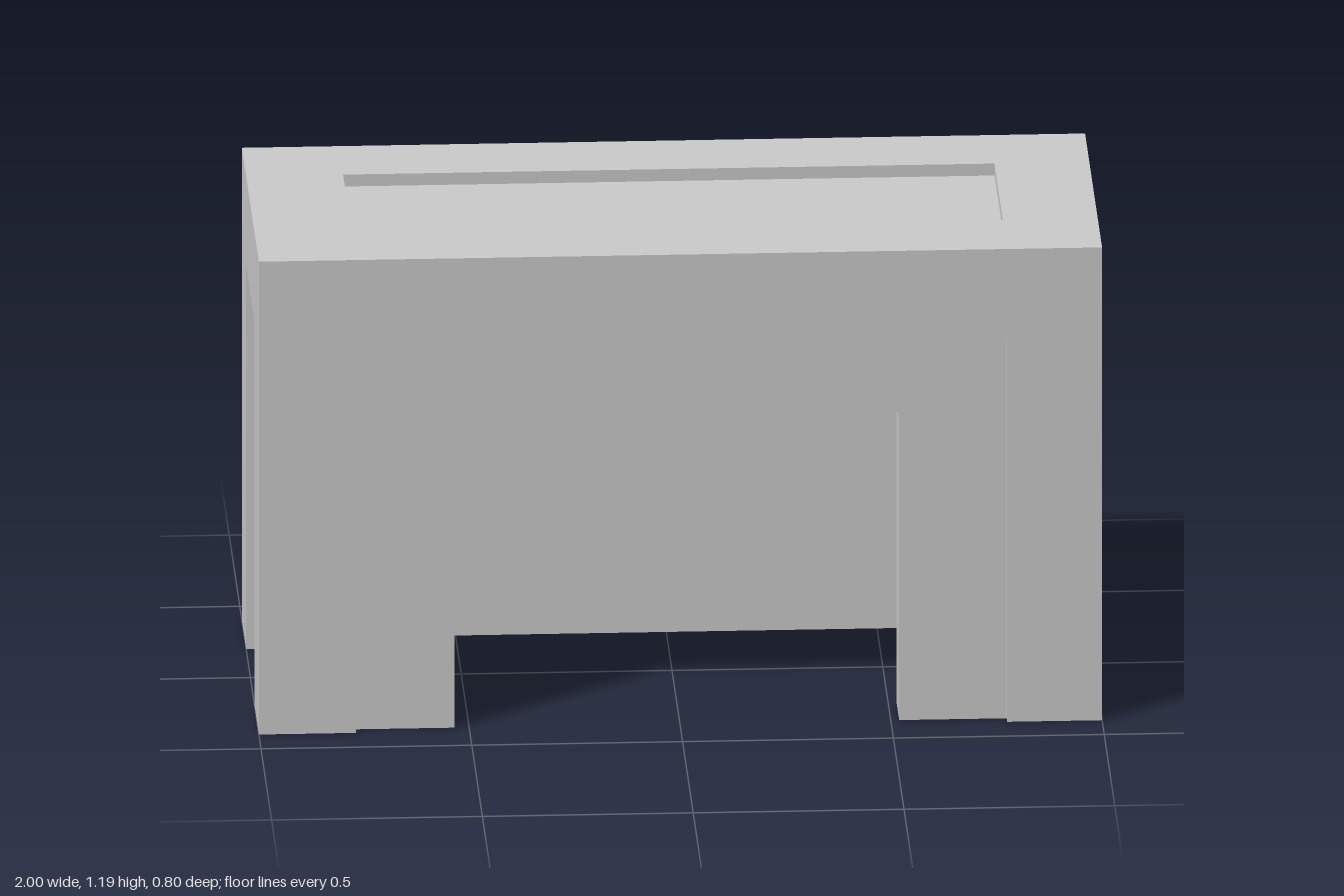
import * as THREE from 'three';
import { mergeGeometries } from 'three/addons/utils/BufferGeometryUtils.js';

const W = 1, H = 1.19, D = 0.4;                    // half width, height, half depth
const PANEL_H = 0.965;                             // top of the sunken wall panels
const FACE_IN = 0.025, SIDE_IN = 0.037, TOP_IN = 0.03; // panel recess depths
const OPEN = [-0.535, 0.52], OPEN_H = 0.775;       // front opening
const CAV = 0.645, CAV_H = 0.89, CAV_F = 0.252, CAV_B = -0.27; // hollow inside

const material = new THREE.MeshStandardMaterial({ color: 0xcccccc, side: THREE.DoubleSide, flatShading: true });

// Up, across and down again: an arch-shaped outline
const arch = (x0, x1, y0, y1) => [[x0, y0], [x0, y1], [x1, y1], [x1, y0]];

// Flat face at depth z from an outline, with an optional hole
function flat(points, z, hole) {
  const vec = list => list.map(p => new THREE.Vector2(p[0], p[1]));
  const shape = new THREE.Shape(vec(points));
  if (hole) shape.holes.push(new THREE.Path(vec(hole)));
  return new THREE.ShapeGeometry(shape).translate(0, 0, z);
}

// Wall strip along a path between two depths, facing right of the travel direction
function walls(path, zOut, zIn) {
  const strips = [];
  for (let i = 0; i + 1 < path.length; i++) {
    const [a, b] = [path[i], path[i + 1]];
    const g = new THREE.PlaneGeometry(1, 1);
    const p = g.attributes.position;
    p.setXYZ(0, ...b, zOut);
    p.setXYZ(1, ...a, zOut);
    p.setXYZ(2, ...b, zIn);
    p.setXYZ(3, ...a, zIn);
    g.computeVertexNormals();
    strips.push(g);
  }
  return mergeGeometries(strips);
}

// U-shaped frame: an outer arch minus an inner arch, both standing on y = 0
const frame = (outer, inner) => [...outer, ...[...inner].reverse()];

function part(name, ...geometries) {
  const mesh = new THREE.Mesh(mergeGeometries(geometries), material);
  mesh.name = name;
  return mesh;
}

// Wall with a sunken panel that runs down to the ground
function panelWall(name, half, out, x0, x1, depth, opening) {
  const notch = arch(x0, x1, 0, PANEL_H);
  const floor = opening ? frame(notch, opening) : notch;
  return part(name,
    flat(frame(arch(-half, half, 0, H), notch), out),
    walls(notch, out, out - depth),
    flat(floor, out - depth));
}

export function createModel() {
  const model = new THREE.Group();
  model.name = 'hollowBlock';
  const opening = arch(...OPEN, 0, OPEN_H);

  // Outer walls
  const front = panelWall('frontWall', W, D, -0.77, 0.775, FACE_IN, opening);
  const back = panelWall('backWall', W, D, -0.775, 0.77, FACE_IN);
  back.rotation.y = Math.PI;
  const left = panelWall('leftWall', D, W, -0.195, 0.2, SIDE_IN);
  left.rotation.y = Math.PI / 2;
  const right = panelWall('rightWall', D, W, -0.2, 0.195, SIDE_IN);
  right.rotation.y = -Math.PI / 2;

  // Top with a sunken rectangle
  const tray = arch(-0.77, 0.775, -0.195, 0.2);
  const top = part('top',
    flat(arch(-W, W, -D, D), H, tray),
    walls([...tray, tray[0]], H, H - TOP_IN),
    flat(tray, H - TOP_IN));
  top.rotation.x = -Math.PI / 2;

  // Edges of the front opening
  const reveal = part('openingReveal', walls(opening, D - FACE_IN, CAV_F));

  // Hollow inside: back, sides and ceiling, and the inner face of the front
  const room = arch(-CAV, CAV, 0, CAV_H);
  const cavity = part('cavity', walls(room, CAV_F, CAV_B), flat(room, CAV_B));
  const mirrored = arch(-OPEN[1], -OPEN[0], 0, OPEN_H);
  const inner = part('innerFrontFace', flat(frame(room, mirrored), -CAV_F));
  inner.rotation.y = Math.PI;

  // Underside, following every notch, as (x, z)
  const f = D - FACE_IN, s = W - SIDE_IN;
  const underside = part('underside', flat([
    [-W, -D], [-0.77, -D], [-0.77, -f], [0.775, -f], [0.775, -D], [W, -D],
    [W, -0.2], [s, -0.2], [s, 0.195], [W, 0.195], [W, D],
    [0.775, D], [0.775, f], [OPEN[1], f], [OPEN[1], CAV_F], [CAV, CAV_F], [CAV, CAV_B],
    [-CAV, CAV_B], [-CAV, CAV_F], [OPEN[0], CAV_F], [OPEN[0], f], [-0.77, f], [-0.77, D],
    [-W, D], [-W, 0.195], [-s, 0.195], [-s, -0.2], [-W, -0.2],
  ], 0));
  underside.rotation.x = Math.PI / 2;

  model.add(front, back, left, right, top, reveal, cavity, inner, underside);
  return model;
}
